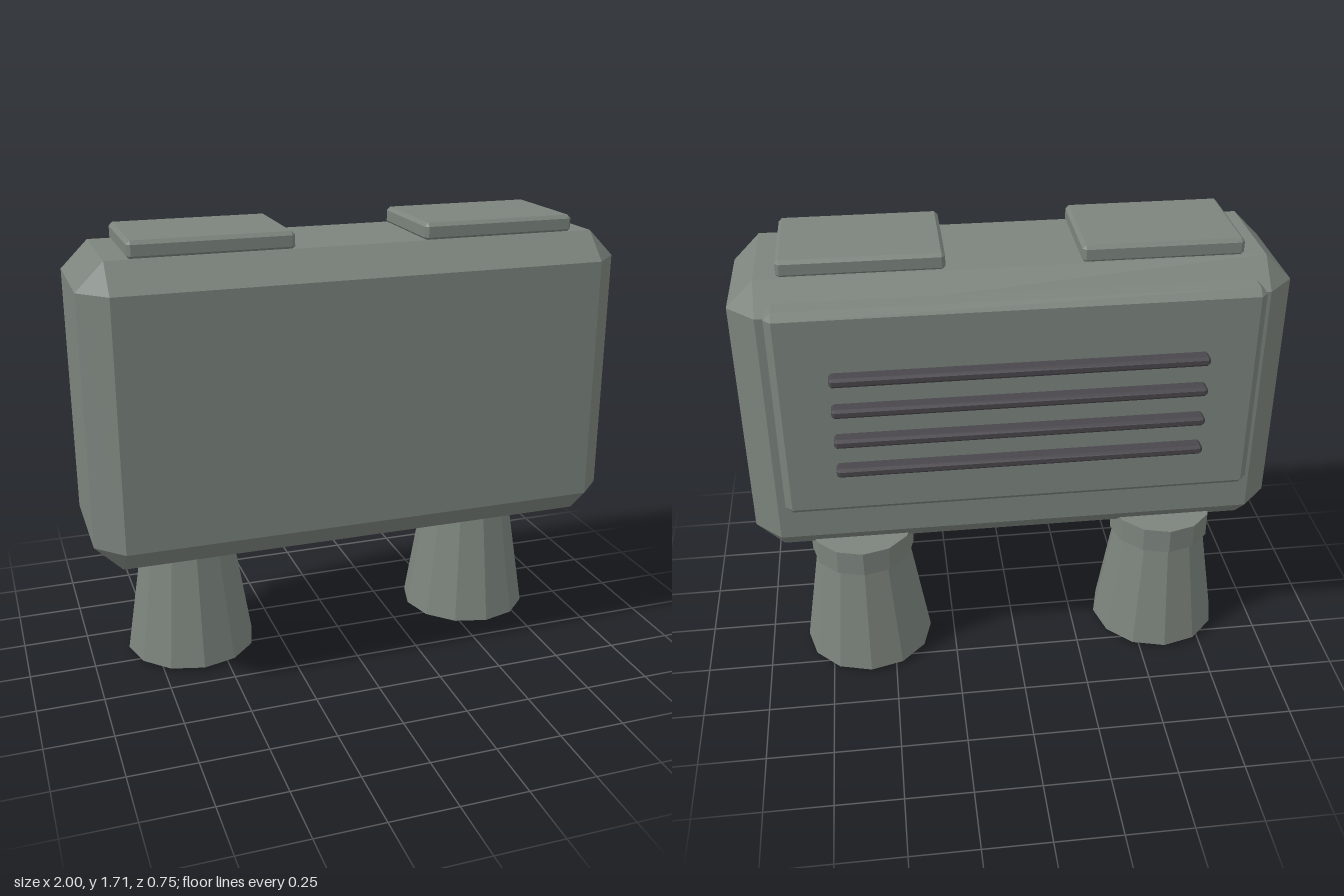
import * as THREE from 'three';
import { ConvexGeometry } from 'three/addons/geometries/ConvexGeometry.js';

const casingGrey = new THREE.MeshStandardMaterial({ color: 0x7c847d });
casingGrey.name = 'casingGrey';
const darkMetal = new THREE.MeshStandardMaterial({ color: 0x4a474c });
darkMetal.name = 'darkMetal';

function add(parent, name, geometry, material, x = 0, y = 0, z = 0) {
  const mesh = new THREE.Mesh(geometry, material);
  mesh.name = name;
  mesh.position.set(x, y, z);
  parent.add(mesh);
  return mesh;
}

// Box with every edge cut by a flat bevel c, given by its limits
function bevelBox(parent, name, material, [x0, x1], [y0, y1], [z0, z1], c) {
  const hx = (x1 - x0) / 2, hy = (y1 - y0) / 2, hz = (z1 - z0) / 2;
  const points = [];
  for (const sx of [-1, 1]) for (const sy of [-1, 1]) for (const sz of [-1, 1]) {
    points.push(
      new THREE.Vector3(sx * hx, sy * (hy - c), sz * (hz - c)),
      new THREE.Vector3(sx * (hx - c), sy * hy, sz * (hz - c)),
      new THREE.Vector3(sx * (hx - c), sy * (hy - c), sz * hz)
    );
  }
  return add(parent, name, new ConvexGeometry(points), material, (x0 + x1) / 2, (y0 + y1) / 2, (z0 + z1) / 2);
}

// Faceted cylinder or cone between two heights
function facetedRing(parent, name, material, rTop, rBottom, y0, y1) {
  const geometry = new THREE.CylinderGeometry(rTop, rBottom, y1 - y0, 12).toNonIndexed();
  geometry.computeVertexNormals();
  return add(parent, name, geometry, material, 0, (y0 + y1) / 2, 0);
}

export function createModel() {
  const model = new THREE.Group();
  model.name = 'thrusterPack';

  // Main casing
  bevelBox(model, 'casing', casingGrey, [-1, 1], [0.53, 1.65], [-0.24, 0.37], 0.1);

  // Rear panel with four vent bars
  bevelBox(model, 'rearPanel', casingGrey, [-0.865, 0.865], [0.785, 1.6], [-0.325, -0.205], 0.026);
  for (let i = 0; i < 4; i++) {
    const y = 0.988 + i * 0.1225;
    bevelBox(model, 'ventBar', darkMetal, [-0.665, 0.665], [y - 0.018, y + 0.018], [-0.375, -0.3], 0.01);
  }

  for (const side of [-1, 1]) {
    // Top hatch
    const xs = side > 0 ? [0.24, 0.822] : [-0.822, -0.24];
    bevelBox(model, 'topHatch', casingGrey, xs, [1.645, 1.71], [-0.135, 0.27], 0.013);

    // Thruster nozzle
    const nozzle = new THREE.Group();
    nozzle.name = side > 0 ? 'leftNozzle' : 'rightNozzle';
    nozzle.position.set(side * 0.6, 0, -0.085);
    facetedRing(nozzle, 'collar', casingGrey, 0.2, 0.2, 0.455, 0.555);
    facetedRing(nozzle, 'bell', casingGrey, 0.18, 0.253, 0.013, 0.47);
    facetedRing(nozzle, 'exhaust', darkMetal, 0.2, 0.2, 0, 0.03);
    model.add(nozzle);
  }
  return model;
}
